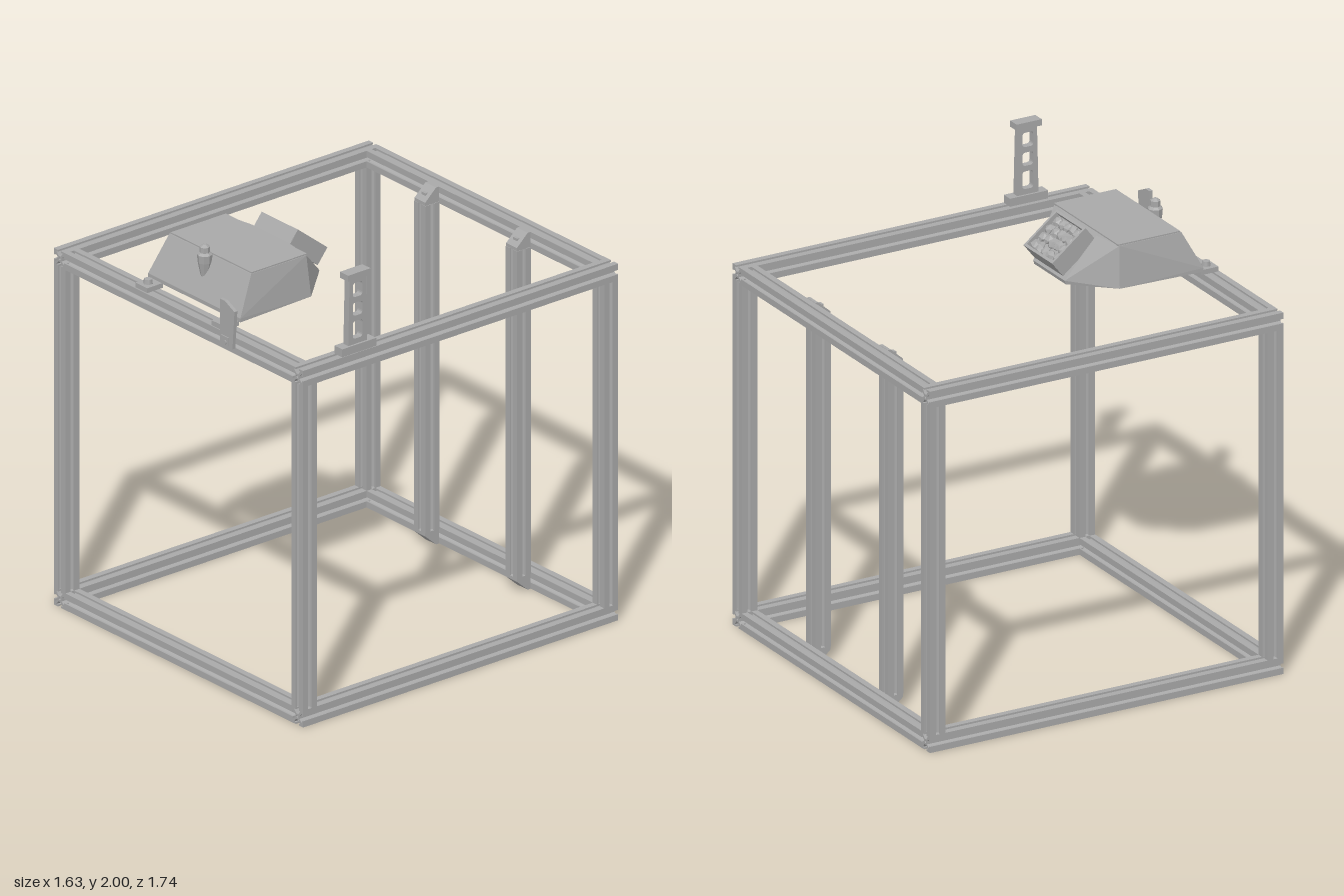
import * as THREE from 'three';
import { ConvexGeometry } from 'three/addons/geometries/ConvexGeometry.js';

const S = 0.076; // width of the slotted bars

// Slotted bar cross-section: four T-slots and a centre bore
function barShape() {
  const h = S / 2;
  const quarter = [
    [h, -h], [h, -0.010], [h - 0.008, -0.010], [h - 0.008, -0.020], [0.013, -0.0075],
    [0.013, 0.0075], [h - 0.008, 0.020], [h - 0.008, 0.010], [h, 0.010],
  ];
  const pts = [];
  for (let k = 0; k < 4; k++) {
    const c = Math.round(Math.cos(k * Math.PI / 2)), s = Math.round(Math.sin(k * Math.PI / 2));
    for (const [x, y] of quarter) pts.push(new THREE.Vector2(x * c - y * s, x * s + y * c));
  }
  const shape = new THREE.Shape(pts);
  const bore = new THREE.Path();
  bore.absarc(0, 0, 0.006, 0, Math.PI * 2, true);
  shape.holes.push(bore);
  return shape;
}

function extrude(shape, depth) {
  const g = new THREE.ExtrudeGeometry(shape, { depth, bevelEnabled: false, curveSegments: 4 });
  return g.translate(0, 0, -depth / 2);
}

const polygon = (pts) => new THREE.Shape(pts.map(([x, y]) => new THREE.Vector2(x, y)));

export function createModel() {
  const root = new THREE.Group();
  const grey = new THREE.MeshStandardMaterial({ color: 0xa8a8a8 });
  grey.name = 'metal grey';

  const add = (name, geo, x = 0, y = 0, z = 0, parent = root) => {
    const m = new THREE.Mesh(geo, grey);
    m.name = name;
    m.position.set(x, y, z);
    parent.add(m);
    return m;
  };
  const box = (name, w, h, d, x, y, z, parent) => add(name, new THREE.BoxGeometry(w, h, d), x, y, z, parent);

  // Frame: long rails in z, cross rails in x, corner posts
  const shape = barShape();
  const X = 0.778, ZF = 0.805, ZB = -0.832, YB = 0.038, YT = 1.597;
  const railZ = extrude(shape, 1.713);
  const railX = extrude(shape, 2 * X - S).rotateY(Math.PI / 2);
  const post = extrude(shape, YT - YB - S).rotateX(Math.PI / 2);
  for (const y of [YB, YT]) {
    for (const x of [-X, X]) add('sideRail', railZ, x, y, -0.0135);
    for (const z of [ZF, ZB]) add('crossRail', railX, 0, y, z);
  }
  for (const x of [-X, X]) for (const z of [ZF, ZB]) add('cornerPost', post, x, (YB + YT) / 2, z);

  // Inner rear uprights with wedge brackets at both ends
  const upright = extrude(shape, 1.50).rotateX(Math.PI / 2);
  const wedge = extrude(polygon([[-0.037, 0], [0.037, 0], [0.037, 0.015], [-0.022, 0.068], [-0.037, 0.068]]), 0.07)
    .rotateY(-Math.PI / 2);
  for (const x of [-0.301, 0.299]) {
    add('innerUpright', upright, x, 0.8175, -0.756);
    add('topBracket', wedge, x, 1.5675, -0.756);
    add('bottomBracket', wedge, x, 0.0675, -0.756).rotation.z = Math.PI;
    box('bracketBolt', 0.026, 0.02, 0.026, x, 1.602, -0.752);
  }

  // Sloped housing resting on the front rail
  const housing = new THREE.Group();
  housing.name = 'housing';
  root.add(housing);
  const hull = [];
  for (const s of [-1, 1]) {
    hull.push(
      [s * 0.302, 1.655, 0.757], [s * 0.302, 1.672, 0.757], [s * 0.287, 1.655, 0.36],
      [s * 0.13, 1.655, 0.19], [s * 0.13, 1.672, 0.185],
      [s * 0.268, 1.84, 0.67], [s * 0.268, 1.84, 0.37], [s * 0.12, 1.84, 0.345]);
  }
  add('housingBody', new ConvexGeometry(hull.map((p) => new THREE.Vector3(...p))), 0, 0, 0, housing);
  box('housingLid', 0.53, 0.008, 0.30, 0, 1.842, 0.515, housing);
  for (const x of [-0.25, 0.25]) {
    box('housingFoot', 0.078, 0.022, 0.085, x, 1.646, 0.795, housing);
    add('footBolt', new THREE.CylinderGeometry(0.018, 0.022, 0.025, 6), x, 1.665, 0.80, housing);
  }

  // Tapered knob on the front slope
  const knobProfile = [[0, -0.085], [0.012, -0.08], [0.03, 0.01], [0.033, 0.045], [0.022, 0.055], [0.022, 0.08], [0.008, 0.09], [0, 0.09]];
  const knobGeo = new THREE.LatheGeometry(knobProfile.map(([r, y]) => new THREE.Vector2(r, y)), 8).toNonIndexed();
  knobGeo.computeVertexNormals();
  add('frontKnob', knobGeo, 0, 1.803, 0.70, housing);

  // Tilted tray at the rear, filled with faceted stones
  const tray = new THREE.Group();
  tray.name = 'stoneTray';
  tray.position.set(0, 1.787, 0.238);
  tray.rotation.x = -0.67;
  housing.add(tray);
  box('trayBase', 0.236, 0.06, 0.204, 0, -0.012, 0, tray);
  for (const s of [-1, 1]) {
    box('traySide', 0.012, 0.085, 0.204, s * 0.113, 0, 0, tray);
    box('trayEnd', 0.236, 0.085, 0.012, 0, 0, s * 0.097, tray);
  }
  let seed = 7;
  const rand = () => (seed = (seed * 16807) % 2147483647) / 2147483647;
  const stoneGeo = new THREE.IcosahedronGeometry(1, 0);
  for (let i = 0; i < 5; i++) {
    for (let j = 0; j < 4; j++) {
      const stone = add('stone', stoneGeo, (i - 2) * 0.041 + (rand() - 0.5) * 0.012, 0.018,
        (j - 1.5) * 0.045 + (rand() - 0.5) * 0.012, tray);
      stone.scale.set(0.028, 0.017 + rand() * 0.008, 0.028);
      stone.rotation.y = rand() * 6;
    }
  }

  // Upright fin plate on the front rail
  const fin = polygon([[0.29, 1.585], [0.372, 1.585], [0.385, 1.76], [0.322, 1.79], [0.29, 1.79]]);
  add('finPlate', extrude(fin, 0.016), 0, 0, 0.85).rotation.y = 0;
  box('finFoot', 0.05, 0.04, 0.02, 0.325, 1.61, 0.852);
  add('finBolt', new THREE.CylinderGeometry(0.01, 0.01, 0.01, 8).rotateX(Math.PI / 2), 0.33, 1.605, 0.862);

  // Tower with rounded windows on the left rail
  const tower = new THREE.Group();
  tower.name = 'tower';
  tower.position.set(0.787, 1.635, 0.535);
  root.add(tower);
  const column = polygon([[-0.052, 0.02], [0.052, 0.02], [0.044, 0.34], [-0.044, 0.34]]);
  for (const [y0, y1] of [[0.06, 0.14], [0.165, 0.225], [0.25, 0.315]]) {
    const w = 0.026, r = 0.014, hole = new THREE.Path();
    hole.moveTo(-w, y0 + r).lineTo(-w, y1 - r).quadraticCurveTo(-w, y1, -w + r, y1)
      .lineTo(w - r, y1).quadraticCurveTo(w, y1, w, y1 - r).lineTo(w, y0 + r)
      .quadraticCurveTo(w, y0, w - r, y0).lineTo(-w + r, y0).quadraticCurveTo(-w, y0, -w, y0 + r);
    column.holes.push(hole);
  }
  add('towerColumn', extrude(column, 0.032).rotateY(Math.PI / 2), 0, 0, 0, tower);
  box('towerBase', 0.052, 0.036, 0.185, 0, 0.018, 0, tower);
  box('towerCap', 0.054, 0.028, 0.122, 0, 0.351, 0, tower);

  return root;
}
